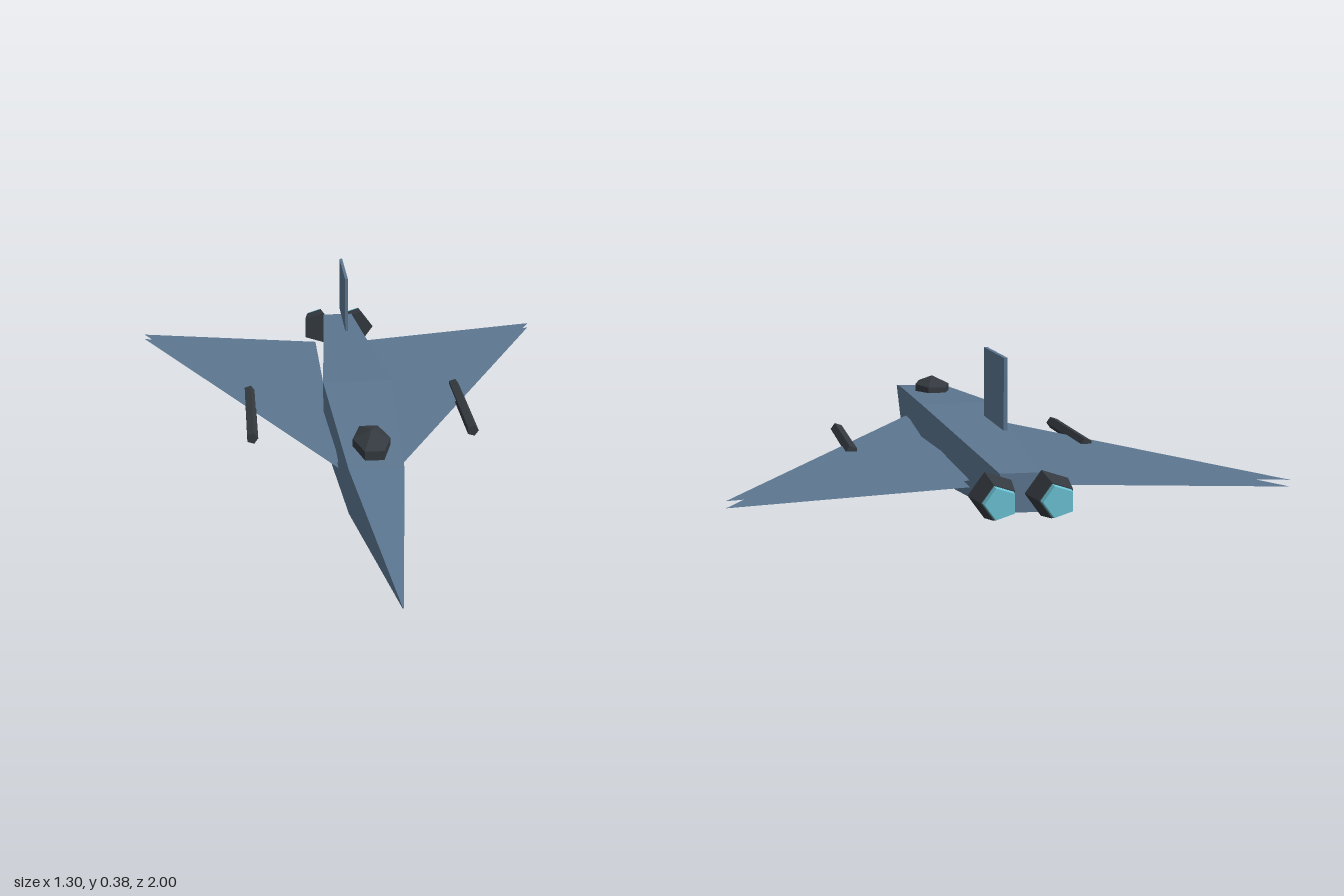
import * as THREE from 'three';

const hull = new THREE.MeshStandardMaterial({ name: 'blueGrey', color: 0x5c7690 });
const hullThin = new THREE.MeshStandardMaterial({ name: 'blueGreyWing', color: 0x5c7690, side: THREE.DoubleSide });
const dark = new THREE.MeshStandardMaterial({ name: 'charcoal', color: 0x343a40 });
const light = new THREE.MeshStandardMaterial({ name: 'lightGrey', color: 0xd8d8d8 });
const glow = new THREE.MeshStandardMaterial({ name: 'cyanGlow', color: 0x6cc3d5 });

// Faceted copy of a geometry, one normal per face
function faceted(geometry) {
  const g = geometry.index ? geometry.toNonIndexed() : geometry;
  g.computeVertexNormals();
  return g;
}

function add(group, name, geometry, material) {
  const mesh = new THREE.Mesh(geometry, material);
  mesh.name = name;
  group.add(mesh);
  return mesh;
}

// Five-sided rod lying along z, one corner towards +x
function rod(rFront, rBack, zFront, zBack, x, y) {
  const g = new THREE.CylinderGeometry(rFront, rBack, zFront - zBack, 5, 1, false, Math.PI / 2);
  g.rotateX(Math.PI / 2);
  g.translate(x, y, (zFront + zBack) / 2);
  return faceted(g);
}

// Rectangular sections lofted from nose to tail: [z, half width, bottom, top]
function fuselageGeometry() {
  const sections = [
    [1, 0.001, 0.079, 0.081],
    [0.41, 0.072, 0.03, 0.155],
    [-0.143, 0.1, 0, 0.185],
    [-0.9, 0.047, 0.05, 0.14],
  ];
  const positions = [];
  const index = [];
  for (const [z, w, b, t] of sections) {
    positions.push(w, t, z, -w, t, z, -w, b, z, w, b, z);
  }
  for (let i = 0; i < sections.length - 1; i++) {
    for (let j = 0; j < 4; j++) {
      const a = i * 4 + j;
      const b = i * 4 + (j + 1) % 4;
      index.push(a, a + 4, b, b, a + 4, b + 4);
    }
  }
  const e = (sections.length - 1) * 4;
  index.push(e, e + 2, e + 1, e, e + 3, e + 2);
  const g = new THREE.BufferGeometry();
  g.setAttribute('position', new THREE.Float32BufferAttribute(positions, 3));
  g.setIndex(index);
  return faceted(g);
}

// Flat swept wing skin at height y
function wingSkin(side, y) {
  const outline = [[0.085, 0.23], [0.65, -0.875], [0.085, -0.75]];
  const shape = new THREE.Shape(outline.map(([x, z]) => new THREE.Vector2(side * x, -z)));
  const g = new THREE.ShapeGeometry(shape);
  g.rotateX(-Math.PI / 2);
  g.translate(0, y, 0);
  return g;
}

export function createModel() {
  const model = new THREE.Group();
  model.name = 'jet';

  add(model, 'fuselage', fuselageGeometry(), hull);

  // Low faceted canopy
  const canopy = new THREE.SphereGeometry(1, 6, 3);
  canopy.scale(0.058, 0.05, 0.116);
  canopy.translate(0, 0.158, 0.276);
  add(model, 'canopy', faceted(canopy), dark);

  // Upright tail fin
  const fin = new THREE.BoxGeometry(0.009, 0.17, 0.226);
  fin.translate(0, 0.295, -0.631);
  add(model, 'tailFin', fin, hull);

  for (const side of [1, -1]) {
    const prefix = side > 0 ? 'left' : 'right';

    // Each wing is an upper and a lower skin with open edges
    add(model, prefix + 'WingTop', wingSkin(side, 0.096), hullThin);
    add(model, prefix + 'WingBottom', wingSkin(side, 0.08), hullThin);

    // Rods on the wing and missiles below it
    add(model, prefix + 'WingRod', rod(0.017, 0.017, 0.04, -0.33, side * 0.312, 0.094), dark);
    add(model, prefix + 'Missile', rod(0.018, 0.018, -0.2, -0.455, side * 0.228, 0.059), light);

    // Engines
    add(model, prefix + 'Nozzle', rod(0.055, 0.042, -0.9, -0.982, side * 0.065, 0.093), dark);
    add(model, prefix + 'Exhaust', rod(0.04, 0.037, -0.975, -1, side * 0.065, 0.093), glow);
  }
  return model;
}
